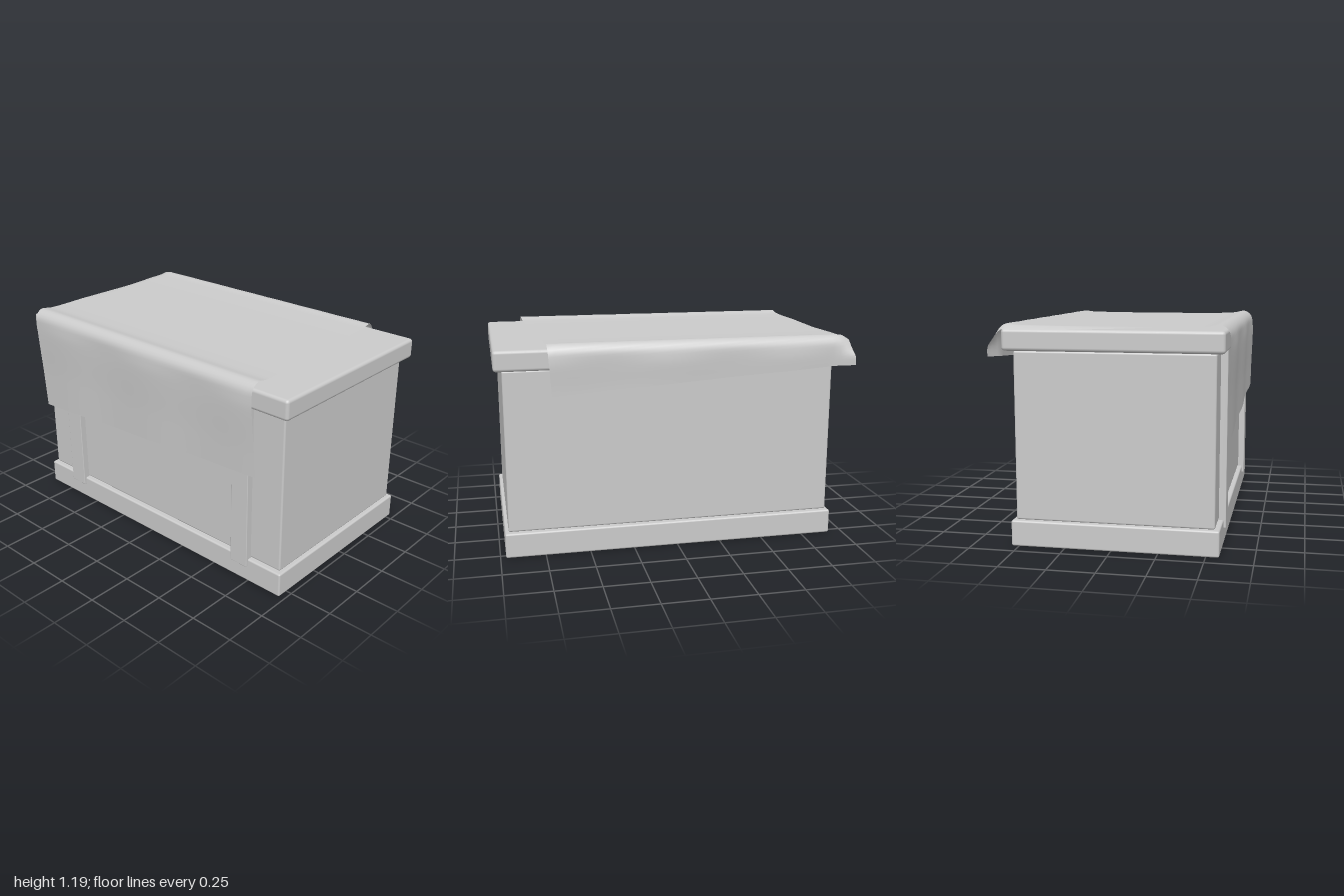
import * as THREE from 'three';
import { RoundedBoxGeometry } from 'three/addons/geometries/RoundedBoxGeometry.js';

const material = new THREE.MeshStandardMaterial({ color: 0xcccccc });
const clothMaterial = new THREE.MeshStandardMaterial({ color: 0xcccccc, side: THREE.DoubleSide });
const { lerp, smoothstep } = THREE.MathUtils;

// Rounded box given by its minimum and maximum corners
function box(name, [x0, y0, z0], [x1, y1, z1], radius) {
  const mesh = new THREE.Mesh(new RoundedBoxGeometry(x1 - x0, y1 - y0, z1 - z0, 2, radius), material);
  mesh.position.set((x0 + x1) / 2, (y0 + y1) / 2, (z0 + z1) / 2);
  mesh.name = name;
  return mesh;
}

// Cloth laid slightly askew over the lid, hanging down at front and back
function drapedCloth() {
  const backEnd = 0.8, frontEnd = 0.5;
  // Side profile as (z, y), from the back hem over the lid to the front hem
  const profile = new THREE.CatmullRomCurve3([
    [-0.582, backEnd], [-0.584, 0.95], [-0.588, 1.1], [-0.58, 1.152], [-0.55, 1.183], [-0.48, 1.178],
    [0, 1.172], [0.48, 1.176], [0.565, 1.187], [0.605, 1.155], [0.613, 1.1], [0.606, 0.8], [0.6, frontEnd],
  ].map(([z, y]) => new THREE.Vector3(0, y, z)));
  profile.arcLengthDivisions = 1000;
  const length = profile.getLength();

  const geometry = new THREE.PlaneGeometry(1, 1, 48, 110);
  const pos = geometry.attributes.position, uv = geometry.attributes.uv;
  for (let i = 0; i < pos.count; i++) {
    const u = uv.getX(i), v = 1 - uv.getY(i);
    // Slanted hems: the cloth is turned a few degrees on the lid
    const start = lerp(1.02, 0.91, u) - backEnd;
    const end = length - (lerp(0.575, 0.685, u) - frontEnd);
    const p = profile.getPointAt(lerp(start, end, v) / length);
    let x = lerp(lerp(-0.985, -0.875, v), lerp(0.695, 0.82, v), u);

    // Soft folds along the hanging parts
    const hang = smoothstep(1.17 - p.y, 0, 0.12);
    p.z += hang * 0.004 * Math.sin(x * 9 + 1) * Math.sign(p.z);
    // The side past the lid's edge sags
    p.y -= Math.max(0, -0.93 - x) * 0.6 * (1 - hang);
    // The rear corner flares outwards
    const corner = p.z < 0 ? hang * (1 - smoothstep(u, 0, 0.06)) : 0;
    p.z -= 0.032 * corner;
    x -= 0.015 * corner;
    pos.setXYZ(i, x, p.y, p.z);
  }
  geometry.computeVertexNormals();
  const mesh = new THREE.Mesh(geometry, clothMaterial);
  mesh.name = 'drapedCloth';
  return mesh;
}

export function createModel() {
  const chest = new THREE.Group();
  chest.name = 'chest';
  chest.add(
    box('base', [-0.92, 0, -0.54], [0.97, 0.14, 0.57], 0.01),
    box('body', [-0.9, 0.142, -0.515], [0.95, 1.042, 0.545], 0.01),
    box('lid', [-0.95, 1.045, -0.563], [0.995, 1.158, 0.59], 0.018),
  );
  // Front straps
  for (const [name, x] of [['rightStrap', -0.645], ['leftStrap', 0.695]]) {
    chest.add(box(name, [x - 0.057, 0.095, 0.54], [x + 0.057, 1.06, 0.583], 0.004));
  }
  chest.add(drapedCloth());
  return chest;
}
